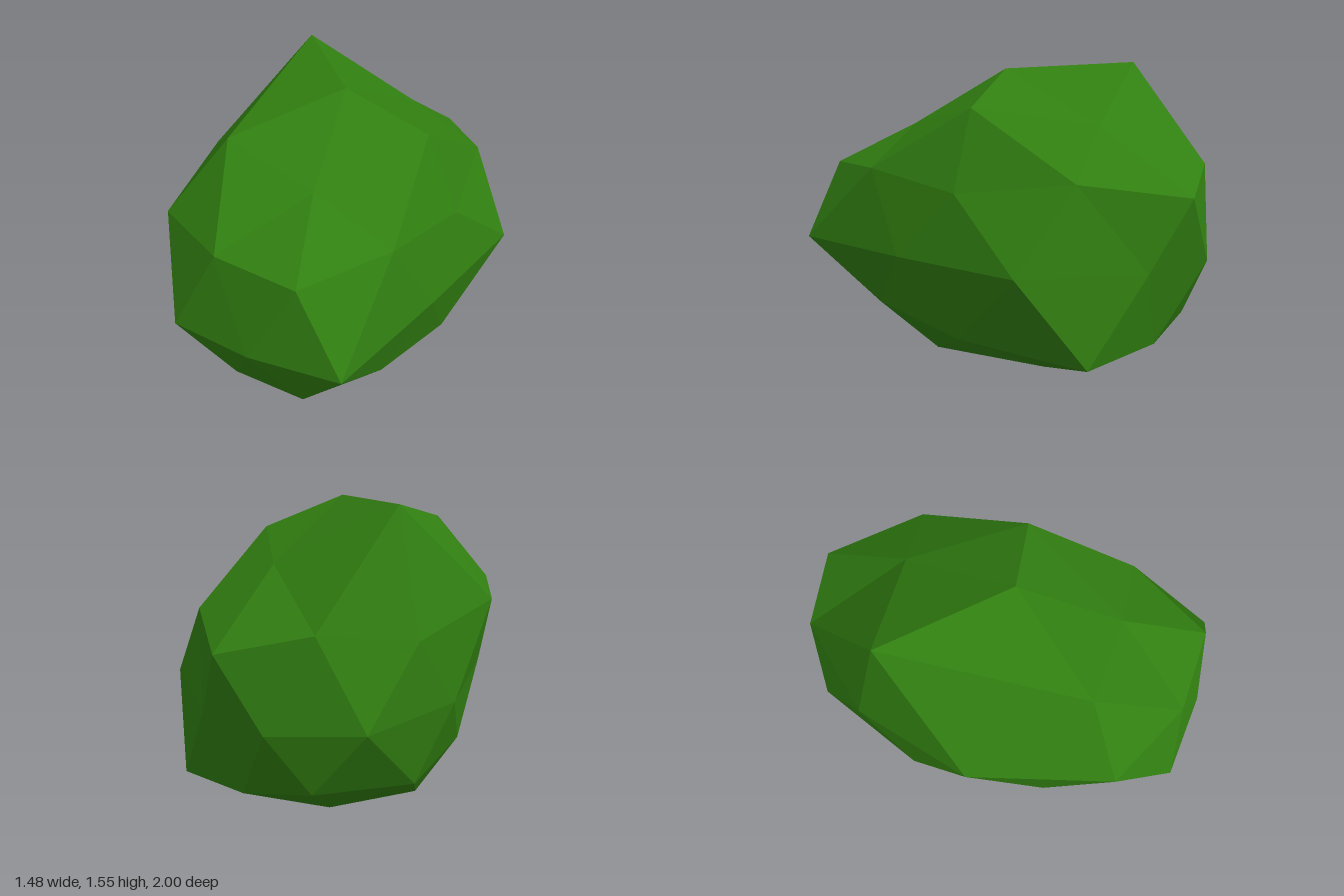
import * as THREE from 'three';

// Faceted bush: a pole-up icosphere with every ring nudged out of round.
// Rings run from +x towards +z, 36 degrees apart (72 for the short ones).
const top = [0.02, 1.52, 0.03];
const crown = [[0.42, 1.35, 0], [0.09, 1.24, 0.52], [-0.36, 1.38, 0.46], [-0.41, 1.55, -0.48], [0.15, 1.27, -0.52]];
const shoulder = [
  [0.58, 0.98, 0], [0.47, 1.05, 0.53], [0.21, 1.03, 0.93], [-0.2, 1.05, 0.88], [-0.6, 1.04, 0.64],
  [-0.74, 1.07, -0.02], [-0.54, 1.0, -0.59], [-0.2, 1.08, -0.92], [0.22, 0.98, -0.985], [0.51, 1.05, -0.56]];
const waist = [
  [0.59, 0.66, 0.31], [0.43, 0.66, 0.975], [0, 0.665, 1], [-0.41, 0.66, 0.93], [-0.63, 0.66, 0.33],
  [-0.645, 0.65, -0.33], [-0.4, 0.66, -0.86], [0, 0.66, -1], [0.36, 0.66, -0.84], [0.74, 0.67, -0.38]];
const belly = [
  [0.55, 0.29, 0], [0.43, 0.37, 0.53], [0.16, 0.32, 0.81], [-0.18, 0.37, 0.82], [-0.45, 0.31, 0.51],
  [-0.6, 0.34, 0], [-0.5, 0.28, -0.46], [-0.15, 0.35, -0.85], [0.19, 0.29, -0.82], [0.575, 0.26, -0.65]];
const foot = [[0.26, 0.11, 0.3], [-0.1, 0.06, 0.53], [-0.39, 0.005, 0], [-0.1, 0.11, -0.5], [0.26, 0.11, -0.3]];
const bottom = [-0.01, 0, 0];

function facetedShell() {
  const pos = [];
  const tri = (a, b, c) => pos.push(...a, ...b, ...c);
  const at = (ring, i) => ring[(i + ring.length) % ring.length];

  // Cap: a fan round the pole, then the zigzag out to the ten-point ring
  const cap = (pole, small, big, shift, face) => {
    for (let i = 0; i < 5; i++) {
      const a = at(small, i), b = at(small, i + 1), k = 2 * i + shift;
      face(pole, b, a);
      face(a, b, at(big, k + 1));
      face(a, at(big, k), at(big, k - 1));
      face(a, at(big, k + 1), at(big, k));
    }
  };
  // Band between a ten-point ring and the waist, which sits half a step round
  const band = (ring, face) => {
    for (let k = 0; k < 10; k++) {
      face(at(ring, k), at(ring, k + 1), at(waist, k));
      face(at(ring, k), at(waist, k), at(waist, k - 1));
    }
  };
  const upper = (a, b, c) => tri(a, b, c);
  const lower = (a, b, c) => tri(a, c, b);
  cap(top, crown, shoulder, 0, upper);
  band(shoulder, upper);
  band(belly, lower);
  cap(bottom, foot, belly, 1, lower);

  const geo = new THREE.BufferGeometry();
  geo.setAttribute('position', new THREE.Float32BufferAttribute(pos, 3));
  geo.computeVertexNormals();
  return geo;
}

export function createModel() {
  const group = new THREE.Group();
  group.name = 'bush';
  const leafGreen = new THREE.MeshStandardMaterial({ color: 0x317f11, flatShading: true });
  leafGreen.name = 'leafGreen';
  const foliage = new THREE.Mesh(facetedShell(), leafGreen);
  foliage.name = 'foliage';
  group.add(foliage);
  return group;
}
